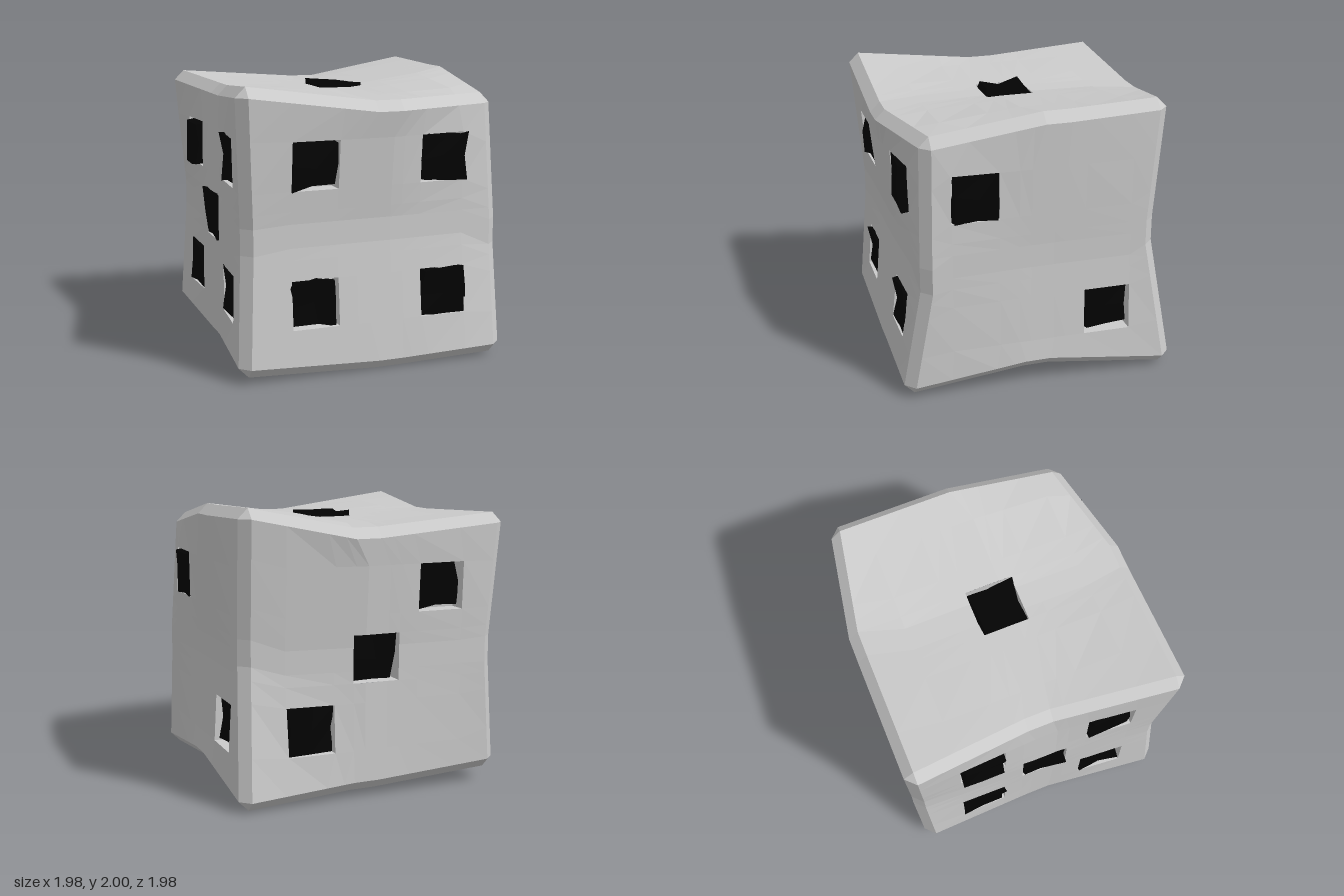
import * as THREE from 'three';

// Control points of the warped cube, indexed [x][y][z] with -1, 0, 1 on each axis
const CAGE = [
  [[[-.94, .10, -.945], [-.90, .03, 0], [-.99, .04, .96]],
   [[-.88, .98, -.965], [-.91, .98, 0], [-.95, .95, .90]],
   [[-.945, 1.93, -.985], [-.87, 1.90, -.03], [-.99, 1.97, .97]]],
  [[[.08, .05, -.93], [0, .05, 0], [.08, 0, .97]],
   [[0, .98, -.925], [0, .98, 0], [0, .95, .89]],
   [[.10, 1.86, -.99], [0, 1.87, 0], [.06, 1.85, .98]]],
  [[[.99, .01, -.95], [.965, .12, .05], [.93, .02, .985]],
   [[.935, 1.05, -.80], [.92, .97, 0], [.94, .88, .855]],
   [[.94, 2, -.86], [.95, 1.98, -.08], [.89, 1.86, .83]]],
];
const MID = [0.01, 0.975, 0.015];
const CENTRE = new THREE.Vector3(...MID);
const BEVEL = 0.07, DEPTH = 0.13, D = 0.467;
// Each edge runs corner, two middle points, corner
const KNOTS = [-1, -0.09, 0.09, 1];
const BREAKS = [-0.9, -0.632, -0.302, -0.165, -0.081, 0.081, 0.165, 0.302, 0.632, 0.9];

// Pips as in-plane offsets along the two axes following the face axis (x>y>z>x);
// level is the coordinate of their outer side
const FACES = [
  { name: 'front', a: 2, s: 1, level: 0.925, pips: [[-D, D], [D, D], [-D, -D], [D, -D]] },
  { name: 'back', a: 2, s: -1, level: -0.88, pips: [[-D, D], [0, 0], [D, -D]] },
  { name: 'left', a: 0, s: 1, level: 0.92, pips: [[D, D], [-D, -D]] },
  { name: 'right', a: 0, s: -1, level: -0.925, pips: [[D, D], [D, -D], [0, 0], [-D, D], [-D, -D]] },
  { name: 'top', a: 1, s: 1, level: 1.89, pips: [[0, 0]] },
  { name: 'bottom', a: 1, s: -1, level: 0.06, pips: [[-D, -D], [0, -D], [D, -D], [-D, D], [0, D], [D, D]] },
];

// Face vertex: cage point pulled in from the neighbouring faces by the bevel,
// or moved along the edge if it is one of the two middle points
function facePoint(a, idx) {
  const [x, y, z] = idx.map(k => Math.round(k) + 1);
  const p = [...CAGE[x][y][z]];
  for (let o = 0; o < 3; o++)
    if (o !== a) p[o] += Math.abs(idx[o]) === 1 ? -idx[o] * BEVEL : idx[o];
  return new THREE.Vector3(...p);
}

// Bilinear surface over a face's 4 x 4 points, u and v from -1 to 1
function surface({ a, s }, u, v) {
  const b = (a + 1) % 3, c = (a + 2) % 3;
  const at = (i, j) => {
    const idx = [0, 0, 0];
    idx[a] = s; idx[b] = KNOTS[i]; idx[c] = KNOTS[j];
    return facePoint(a, idx);
  };
  const span = (w) => {
    const k = w < KNOTS[1] ? 0 : w < KNOTS[2] ? 1 : 2;
    return [k, (w - KNOTS[k]) / (KNOTS[k + 1] - KNOTS[k])];
  };
  const [i, fu] = span(u), [j, fv] = span(v);
  return at(i, j).lerp(at(i + 1, j), fu).lerp(at(i, j + 1).lerp(at(i + 1, j + 1), fu), fv);
}

// Collects triangles, turning each to face away from (or toward) a reference point
function makeCollector() {
  const pos = [];
  const tri = (p, q, r, ref, away = 1) => {
    const n = q.clone().sub(p).cross(r.clone().sub(p));
    const mid = p.clone().add(q).add(r).divideScalar(3).sub(ref);
    const list = n.dot(mid) * away >= 0 ? [p, q, r] : [p, r, q];
    list.forEach(w => pos.push(w.x, w.y, w.z));
  };
  const quad = (p, q, r, t, ref, away) => {
    tri(p, q, r, ref, away);
    tri(p, r, t, ref, away);
  };
  const geometry = () => {
    const g = new THREE.BufferGeometry();
    g.setAttribute('position', new THREE.Float32BufferAttribute(pos, 3));
    g.computeVertexNormals();
    return g;
  };
  return { tri, quad, geometry };
}

// One face: a grid with square recesses where the pips sit
function faceGeometry(face) {
  const { a, s, pips } = face, b = (a + 1) % 3, c = (a + 2) % 3;
  const out = makeCollector(), last = BREAKS.length - 1;
  const inner = (k) => k > 0 && k < last;
  const grid = BREAKS.map((p, i) => BREAKS.map((q, j) => {
    const v = surface(face, p / 0.9, q / 0.9);
    if (inner(i) && inner(j)) v.setComponent(b, MID[b] + p).setComponent(c, MID[c] + q);
    return v;
  }));
  const inPip = (x, y) => pips.some(([p, q]) => Math.abs(x - p) < 0.165 && Math.abs(y - q) < 0.165);
  for (let i = 0; i < last; i++) for (let j = 0; j < last; j++) {
    if (inPip((BREAKS[i] + BREAKS[i + 1]) / 2, (BREAKS[j] + BREAKS[j + 1]) / 2)) continue;
    out.quad(grid[i][j], grid[i + 1][j], grid[i + 1][j + 1], grid[i][j + 1], CENTRE);
  }
  // recess walls and floor
  const near = (x) => BREAKS.findIndex(w => Math.abs(w - x) < 0.01);
  for (const [p, q] of pips) {
    const i0 = near(p - 0.165), i1 = near(p + 0.165), j0 = near(q - 0.165), j1 = near(q + 0.165);
    const rim = [grid[i0][j0], grid[i1][j0], grid[i1][j1], grid[i0][j1]];
    const low = rim.map(v => v.clone().setComponent(a, v.getComponent(a) - s * DEPTH));
    const axis = rim[0].clone().add(rim[2]).add(low[0]).add(low[2]).divideScalar(4);
    for (let k = 0; k < 4; k++) {
      const n = (k + 1) % 4;
      out.quad(rim[k], rim[n], low[n], low[k], axis, -1);
    }
    out.quad(...low, CENTRE);
  }
  return out.geometry();
}

// Chamfer strips along the twelve edges and triangles at the eight corners
function bevelGeometry() {
  const out = makeCollector();
  for (let c = 0; c < 3; c++) {
    const a = (c + 1) % 3, b = (c + 2) % 3;
    for (const sa of [-1, 1]) for (const sb of [-1, 1]) for (let t = 0; t < 3; t++) {
      const at = (axis, k) => {
        const idx = [0, 0, 0];
        idx[a] = sa; idx[b] = sb; idx[c] = KNOTS[k];
        return facePoint(axis, idx);
      };
      out.quad(at(a, t), at(a, t + 1), at(b, t + 1), at(b, t), CENTRE);
    }
  }
  for (const x of [-1, 1]) for (const y of [-1, 1]) for (const z of [-1, 1])
    out.tri(...[0, 1, 2].map(k => facePoint(k, [x, y, z])), CENTRE);
  return out.geometry();
}

// Crumpled block; the same corner always gets the same offset
function pipGeometry(seed) {
  const g = new THREE.BoxGeometry(0.31, 0.31, 0.1, 2, 2, 1).toNonIndexed();
  const pos = g.attributes.position;
  const noise = (x, y, z, k) => {
    const h = Math.sin(x * 127.1 + y * 311.7 + z * 74.7 + k * 53.3 + seed * 19.19) * 43758.5453;
    return (h - Math.floor(h)) * 2 - 1;
  };
  for (let i = 0; i < pos.count; i++) {
    const [x, y, z] = [pos.getX(i), pos.getY(i), pos.getZ(i)].map(v => Math.round(v * 1000) / 1000 + 0);
    pos.setXYZ(i, x + 0.024 * noise(x, y, z, 1), y + 0.024 * noise(x, y, z, 2), z + 0.022 * noise(x, y, z, 3));
  }
  g.computeVertexNormals();
  return g;
}

export function createModel() {
  const model = new THREE.Group();
  model.name = 'warpedDie';
  const grey = new THREE.MeshStandardMaterial({ color: 0xcccccc, flatShading: true });
  const black = new THREE.MeshStandardMaterial({ color: 0x030303, flatShading: true });
  const add = (name, geometry, material) => {
    const mesh = new THREE.Mesh(geometry, material);
    mesh.name = name;
    model.add(mesh);
    return mesh;
  };

  add('bevelledEdges', bevelGeometry(), grey);
  let seed = 1;
  for (const face of FACES) {
    add(face.name + 'Face', faceGeometry(face), grey);
    const { a, s, level } = face, b = (a + 1) % 3, c = (a + 2) % 3;
    const normal = new THREE.Vector3().setComponent(a, s);
    face.pips.forEach(([p, q], n) => {
      const pip = add(`${face.name}Pip${n + 1}`, pipGeometry(seed++), black);
      pip.position.setComponent(a, level - s * 0.05);
      pip.position.setComponent(b, MID[b] + p).setComponent(c, MID[c] + q);
      pip.quaternion.setFromUnitVectors(new THREE.Vector3(0, 0, 1), normal);
    });
  }
  return model;
}
